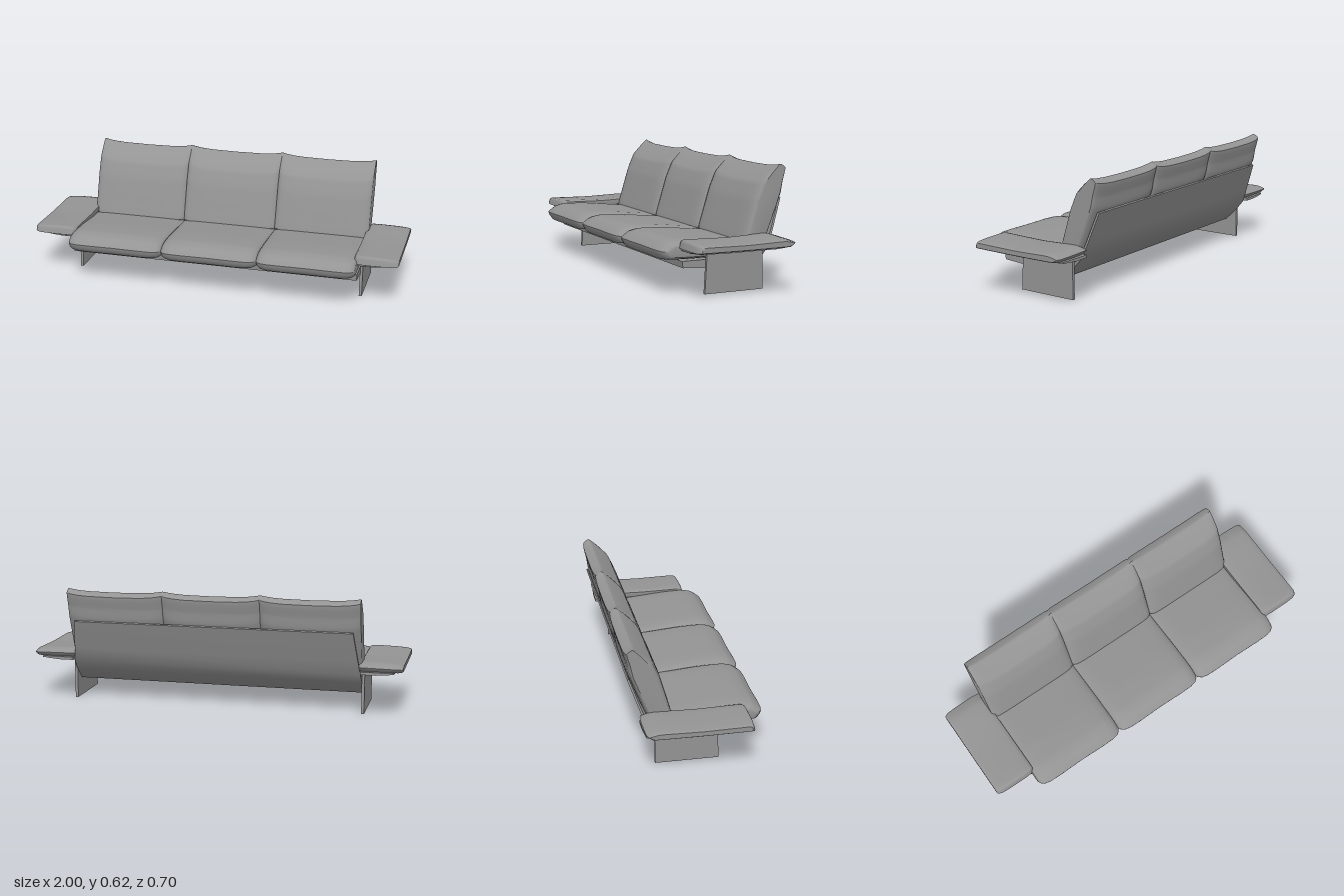
import * as THREE from 'three';
import { toCreasedNormals } from 'three/addons/utils/BufferGeometryUtils.js';

const material = new THREE.MeshStandardMaterial({ color: 0x949494 });

// Round off a closed [z, y] outline.
function soften(points, count, tension) {
  const curve = new THREE.CatmullRomCurve3(
    points.map(([z, y]) => new THREE.Vector3(z, y, 0)), true, 'catmullrom', tension);
  return curve.getPoints(count).slice(0, count).map((p) => [p.x, p.y]);
}

// Sweep a [z, y] outline along x. Each station is [x, depthScale, heightScale, lift];
// depth is scaled about a line through the pivot that leans by `lean`,
// and the width shrinks by `taper` per unit of height above the pivot.
function loft(name, outline, stations, { pivot = [0, 0], lean = 0, taper = 0 } = {}) {
  let ring = outline.map(([z, y]) => new THREE.Vector2(z, y));
  if (THREE.ShapeUtils.area(ring) < 0) ring = ring.reverse();
  const n = ring.length;
  const position = [];
  const index = [];
  for (const [x, sz = 1, sy = 1, lift = 0] of stations) {
    for (const p of ring) {
      const dy = p.y - pivot[1];
      const spine = pivot[0] + lean * dy;
      position.push(x * (1 - taper * Math.max(0, dy)),
        pivot[1] + dy * sy + lift, spine + (p.x - spine) * sz);
    }
  }
  const last = (stations.length - 1) * n;
  for (let j = 0; j < last; j += n) {
    for (let i = 0; i < n; i++) {
      const a = j + i, c = j + ((i + 1) % n);
      index.push(a, a + n, c, a + n, c + n, c);
    }
  }
  // End caps
  for (const [a, b, c] of THREE.ShapeUtils.triangulateShape(ring, [])) {
    index.push(a, b, c, last + c, last + b, last + a);
  }
  const geometry = new THREE.BufferGeometry();
  geometry.setAttribute('position', new THREE.Float32BufferAttribute(position, 3));
  geometry.setIndex(index);
  const mesh = new THREE.Mesh(toCreasedNormals(geometry, 0.75), material);
  mesh.name = name;
  return mesh;
}

// Complete a station list given from the middle (x = 0) outwards.
const symmetric = (half) => [
  ...half.slice(1).reverse().map(([x, ...rest]) => [-x, ...rest]), ...half];

// Flip a station list to the other side of the model.
const mirror = (stations) => stations.map(([x, ...rest]) => [-x, ...rest]).reverse();

export function createModel() {
  const sofa = new THREE.Group();
  sofa.name = 'sofa';

  // Seat shell with a thin upright back panel, a little narrower at the top
  const shell = [
    [0.24, 0.172], [0.235, 0.138], [0.11, 0.13], [-0.1, 0.09], [-0.14, 0.098],
    [-0.207, 0.165], [-0.25, 0.215], [-0.28, 0.295], [-0.334, 0.448], [-0.328, 0.453],
    [-0.322, 0.448], [-0.268, 0.295], [-0.238, 0.22], [-0.19, 0.172]];
  sofa.add(loft('shell', shell, [[-0.785], [0.785]], { pivot: [0, 0.173], taper: 0.17 }));

  // Three seat and back cushions
  const seat = soften([
    [0.25, 0.274], [0.305, 0.262], [0.35, 0.225], [0.325, 0.18], [0.2, 0.172],
    [-0.1, 0.172], [-0.2, 0.18], [-0.22, 0.21], [-0.18, 0.235], [0, 0.256], [0.13, 0.27]],
  44, 0.22);
  const seatStations = symmetric([
    [0, 0.99, 1], [0.14, 1, 1], [0.205, 0.995, 0.97], [0.238, 0.97, 0.87],
    [0.255, 0.92, 0.72], [0.261, 0.88, 0.6]]);
  const back = soften([
    [-0.108, 0.23], [-0.125, 0.3], [-0.165, 0.44], [-0.203, 0.525], [-0.253, 0.572],
    [-0.303, 0.608], [-0.35, 0.588], [-0.336, 0.52], [-0.328, 0.46],
    [-0.275, 0.32], [-0.23, 0.215], [-0.16, 0.2]], 60, 0.18);
  const backStations = symmetric([
    [0, 1, 1, 0], [0.14, 1, 1, 0.002], [0.2, 0.97, 1, 0.006], [0.236, 0.9, 1, 0.011],
    [0.255, 0.8, 1, 0.015], [0.262, 0.68, 1, 0.016]]);
  for (const x of [-0.523, 0, 0.523]) {
    const seatCushion = loft('seatCushion', seat, seatStations, { pivot: [0.05, 0.217] });
    const backCushion = loft('backCushion', back, backStations,
      { pivot: [-0.18, 0.25], lean: -0.41 });
    seatCushion.position.x = backCushion.position.x = x;
    sofa.add(seatCushion, backCushion);
  }

  // Leg panels and armrests on both sides
  const leg = [[0.12, 0], [0.108, 0.216], [-0.206, 0.216], [-0.206, 0]];
  const plate = [
    [0.248, 0.24], [0.246, 0.227], [0.235, 0.222], [0.11, 0.213], [-0.206, 0.213],
    [-0.255, 0.223], [-0.28, 0.225], [-0.28, 0.24]];
  const pad = soften([
    [0.235, 0.281], [0.25, 0.273], [0.258, 0.243], [0.245, 0.236], [0, 0.233],
    [-0.24, 0.235], [-0.262, 0.241], [-0.283, 0.263], [-0.225, 0.282], [-0.1, 0.278],
    [0, 0.275], [0.12, 0.278]], 48, 0.25);
  const legStations = [[0.782], [0.797]];
  const plateStations = [[0.78], [0.86], [0.955, 0.98, 0.5]];
  const padStations = [
    [0.77, 0.94, 0.6], [0.775, 0.97, 0.82], [0.79, 0.99, 0.98], [0.83, 1, 1],
    [0.93, 1, 0.92, -0.001], [0.975, 0.99, 0.84, -0.002], [0.994, 0.965, 0.72, -0.002],
    [1, 0.94, 0.56, -0.002]];
  for (const side of [1, -1]) {
    const place = (stations) => (side > 0 ? stations : mirror(stations));
    const prefix = side > 0 ? 'left' : 'right';
    sofa.add(
      loft(prefix + 'LegPanel', leg, place(legStations)),
      loft(prefix + 'ArmPlate', plate, place(plateStations), { pivot: [-0.016, 0.24] }),
      loft(prefix + 'ArmPad', pad, place(padStations), { pivot: [-0.012, 0.258] }));
  }
  return sofa;
}
